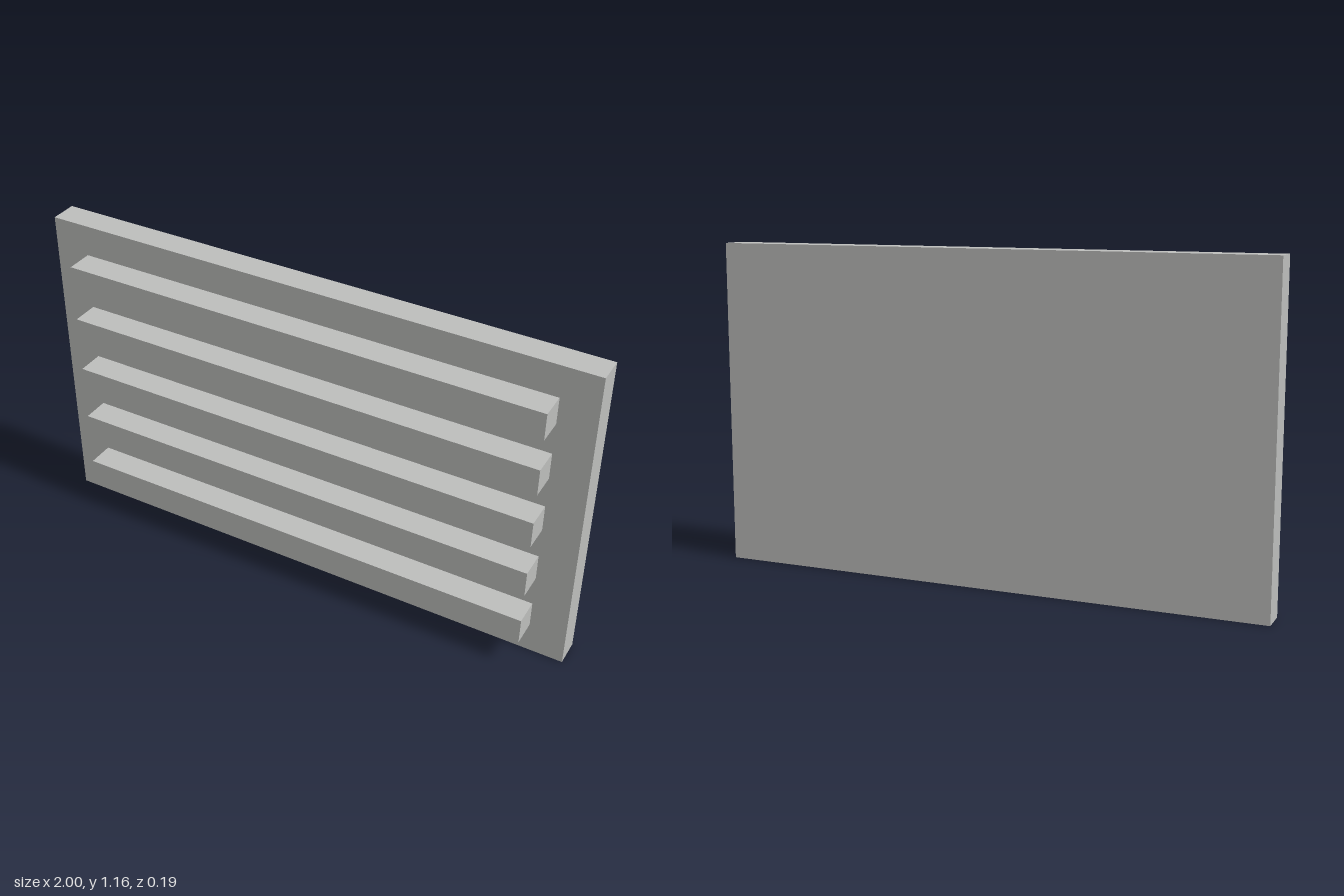
import * as THREE from 'three';

export function createModel() {
  const group = new THREE.Group();
  const grey = new THREE.MeshStandardMaterial({ color: 0xbdbebc });
  grey.name = 'lightGrey';

  const addBox = (name, w, h, d, y, z) => {
    const mesh = new THREE.Mesh(new THREE.BoxGeometry(w, h, d), grey);
    mesh.name = name;
    mesh.position.set(0, y, z);
    group.add(mesh);
  };

  // Upright back panel
  const height = 1.161, depth = 0.097;
  addBox('panel', 2, height, depth, height / 2, -depth / 2);

  // Five evenly spaced horizontal slats on the front
  for (let i = 0; i < 5; i++) {
    addBox(`slat${i + 1}`, 1.742, 0.097, depth, height / 2 + (i - 2) * 0.2093, depth / 2);
  }
  return group;
}
